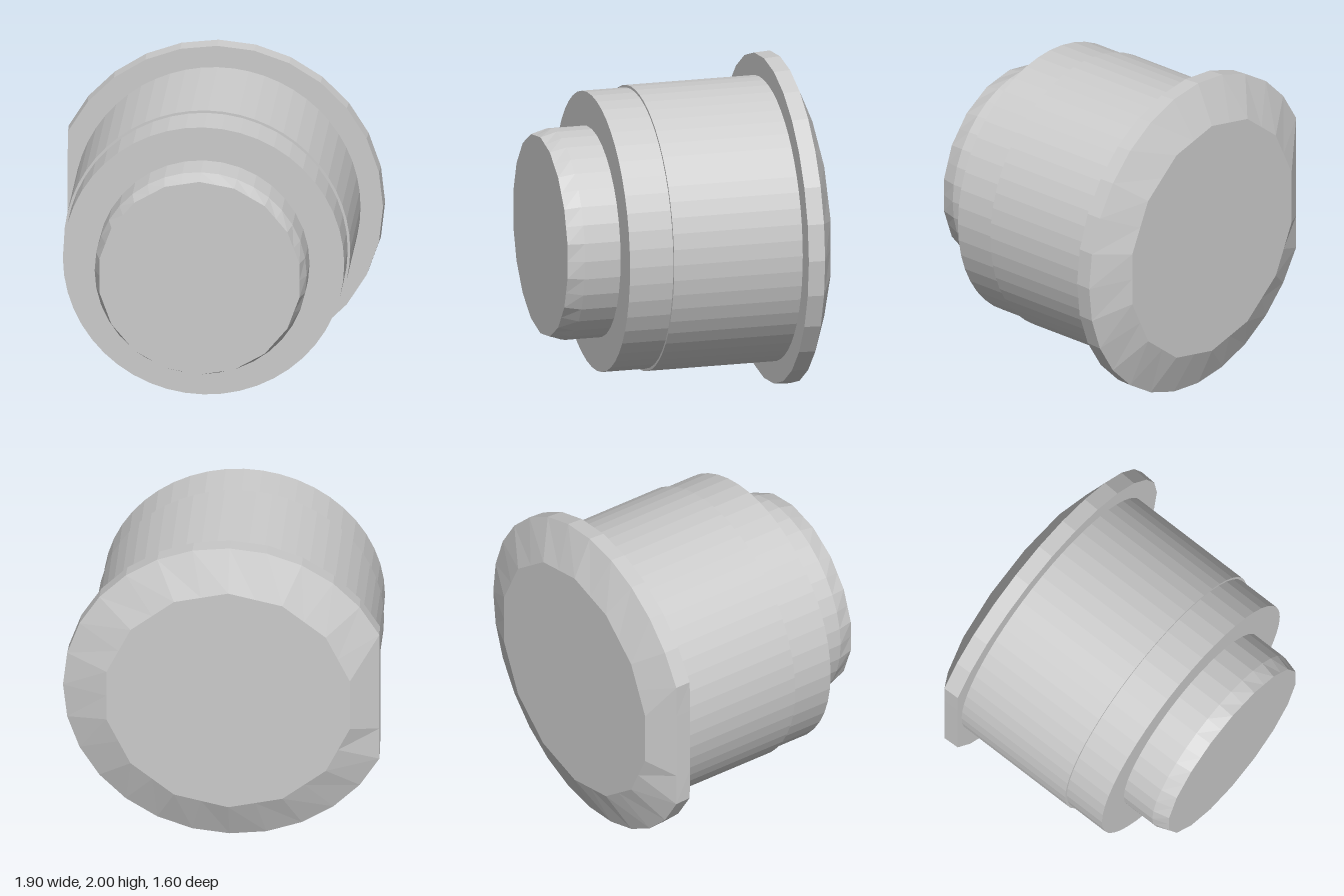
import * as THREE from 'three';

const material = new THREE.MeshStandardMaterial({ color: 0xcccccc, flatShading: true });

// Closed solid turned about the z axis. profile: [radius, z] from back to front.
// coarseRing: profile index whose odd vertices drop onto the chord, halving its sides.
// flatX: vertices beyond this x are pressed onto a flat.
function turned(name, profile, segments, coarseRing = -1, flatX = -Infinity) {
  const points = profile.map(([r, z]) => new THREE.Vector2(r, z));
  const geometry = new THREE.LatheGeometry(points, segments);
  geometry.rotateX(Math.PI / 2);
  const pos = geometry.attributes.position;
  const chord = Math.cos((2 * Math.PI) / segments);
  for (let i = 0; i < pos.count; i++) {
    const ring = i % points.length;
    const column = Math.floor(i / points.length);
    const k = ring === coarseRing && column % 2 ? chord : 1;
    pos.setXY(i, Math.max(pos.getX(i) * k, flatX), pos.getY(i) * k);
  }
  geometry.computeVertexNormals();
  const mesh = new THREE.Mesh(geometry, material);
  mesh.name = name;
  return mesh;
}

export function createModel() {
  const group = new THREE.Group();
  group.name = 'flangedPlug';

  // Bevelled flange with a flat cut on one side
  group.add(turned('flange',
    [[0, -0.8], [0.75, -0.8], [1, -0.69], [0.995, -0.59], [0, -0.59]], 28, 1, -0.9));

  // Main barrel and the slightly narrower step in front of it
  group.add(turned('barrel', [[0, -0.6], [0.86, -0.6], [0.86, 0.21], [0, 0.21]], 56));
  group.add(turned('step', [[0, 0.2], [0.845, 0.2], [0.845, 0.48], [0, 0.48]], 48));

  // Front boss with a chamfered end
  group.add(turned('boss',
    [[0, 0.47], [0.637, 0.47], [0.637, 0.7], [0.61, 0.8], [0, 0.8]], 36, 3));

  // The axis sits off-centre because of the flat
  group.children.forEach((part) => part.position.set(-0.05, 1, 0));
  return group;
}
